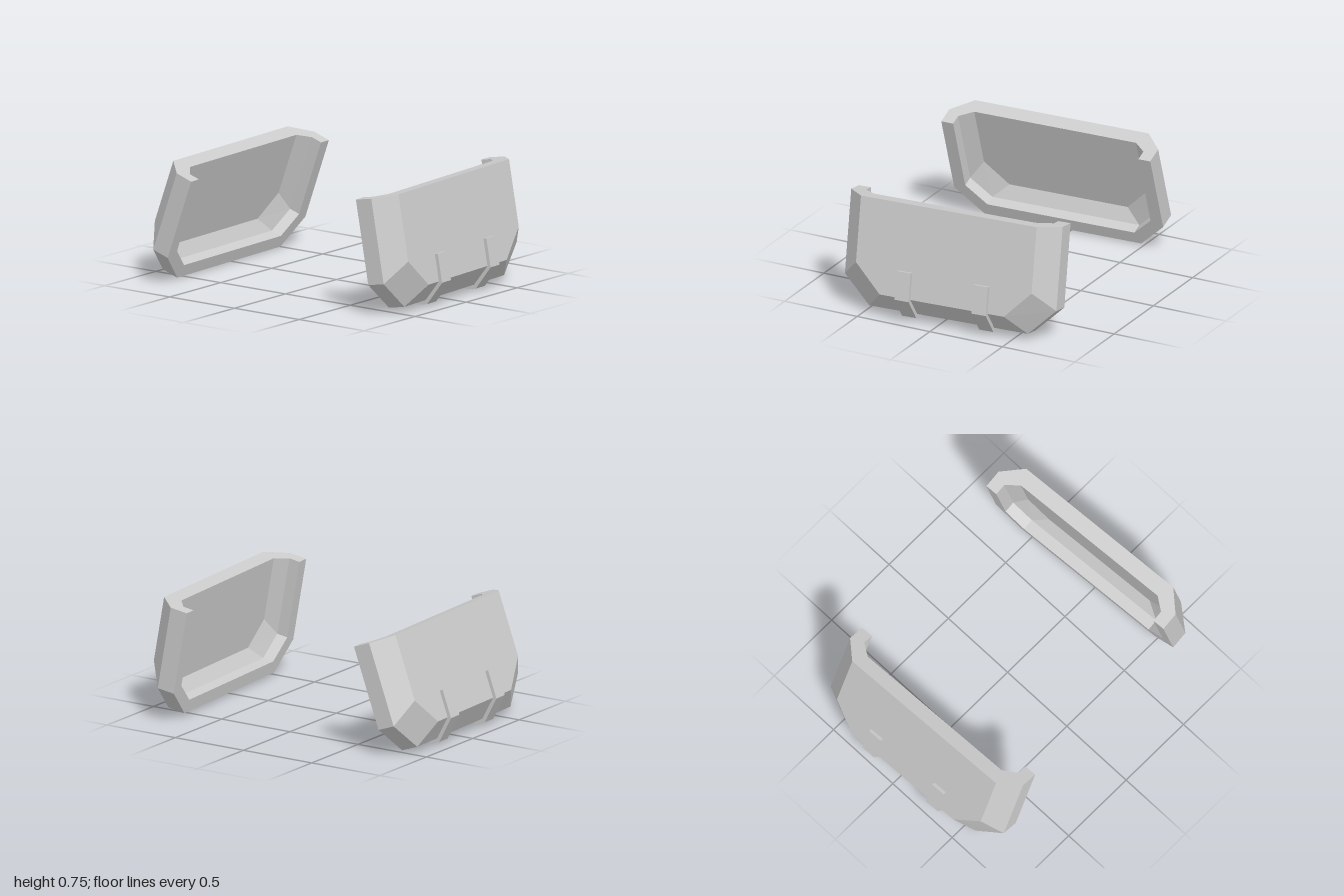
import * as THREE from 'three';

// Nested outlines of the shell, from the outer face round the rim to the inner floor:
// half width, corner drop, bottom half width, bottom drop, depth
const LAYERS = [
  [0.587, 0.416, 0.415, 0.59, 0.235],
  [0.707, 0.528, 0.53, 0.70, 0.115],
  [0.707, 0.528, 0.53, 0.70, 0],
  [0.627, 0.495, 0.497, 0.62, 0],
  [0.627, 0.495, 0.497, 0.62, 0.072],
  [0.547, 0.40, 0.40, 0.55, 0.135],
];

const material = new THREE.MeshStandardMaterial({ color: 0xcccccc, flatShading: true });

function part(name, geometry) {
  const mesh = new THREE.Mesh(geometry, material);
  mesh.name = name;
  return mesh;
}

// Open U outline of one layer, running left, bottom, right
function outline([a, c, b, d, z]) {
  return [[-a, 0, z], [-a, -c, z], [-b, -d, z], [b, -d, z], [a, -c, z], [a, 0, z]];
}

function shellGeometry() {
  const rings = LAYERS.map(outline);
  const positions = [];
  const tri = (...points) => points.forEach((p) => positions.push(...p));
  // Walls, rim and inner slopes
  for (let i = 0; i < rings.length - 1; i++) {
    const A = rings[i], B = rings[i + 1];
    for (let j = 0; j < 5; j++) {
      tri(A[j], B[j], B[j + 1]);
      tri(A[j], B[j + 1], A[j + 1]);
    }
  }
  // Outer face and inner floor
  const front = rings[0], floor = rings[5];
  for (let j = 1; j < 5; j++) {
    tri(front[0], front[j], front[j + 1]);
    tri(floor[0], floor[j + 1], floor[j]);
  }
  const geometry = new THREE.BufferGeometry();
  geometry.setAttribute('position', new THREE.Float32BufferAttribute(positions, 3));
  geometry.computeVertexNormals();
  return geometry;
}

// Flat cut across the top of the shell
function topEdgeGeometry() {
  const right = LAYERS.map(([a, , , , z]) => new THREE.Vector2(a, -z));
  const left = LAYERS.map(([a, , , , z]) => new THREE.Vector2(-a, -z)).reverse();
  return new THREE.ShapeGeometry(new THREE.Shape([...right, ...left])).rotateX(-Math.PI / 2);
}

// Bent strap that follows the face, the lower slope and the underside
function strapGeometry(width) {
  const profile = [
    [0.235, -0.42], [0.235, -0.59], [0.115, -0.70], [0.05, -0.70],
    [0.05, -0.725], [0.124, -0.725], [0.257, -0.60], [0.257, -0.42],
  ].map(([x, y]) => new THREE.Vector2(x, y));
  return new THREE.ExtrudeGeometry(new THREE.Shape(profile), { depth: width, bevelEnabled: false })
    .translate(0, 0, -width / 2)
    .rotateY(-Math.PI / 2);
}

function createPanel(name, position, yaw, tilt) {
  const panel = new THREE.Group();
  panel.name = name;
  panel.add(part('shell', shellGeometry()), part('topEdge', topEdgeGeometry()));
  for (const side of [-1, 1]) {
    const strap = part(side > 0 ? 'leftStrap' : 'rightStrap', strapGeometry(0.095));
    strap.position.x = side * 0.258;
    panel.add(strap);
  }
  panel.position.set(...position);
  panel.rotation.set(-tilt, yaw, 0, 'YXZ');
  return panel;
}

export function createModel() {
  const model = new THREE.Group();
  model.name = 'panelPair';
  model.add(
    createPanel('frontPanel', [0.042, 0.72, 0.63], 0.06, 0.174),
    createPanel('backPanel', [-0.042, 0.677, -0.557], Math.PI + 0.035, 0.34),
  );
  return model;
}
